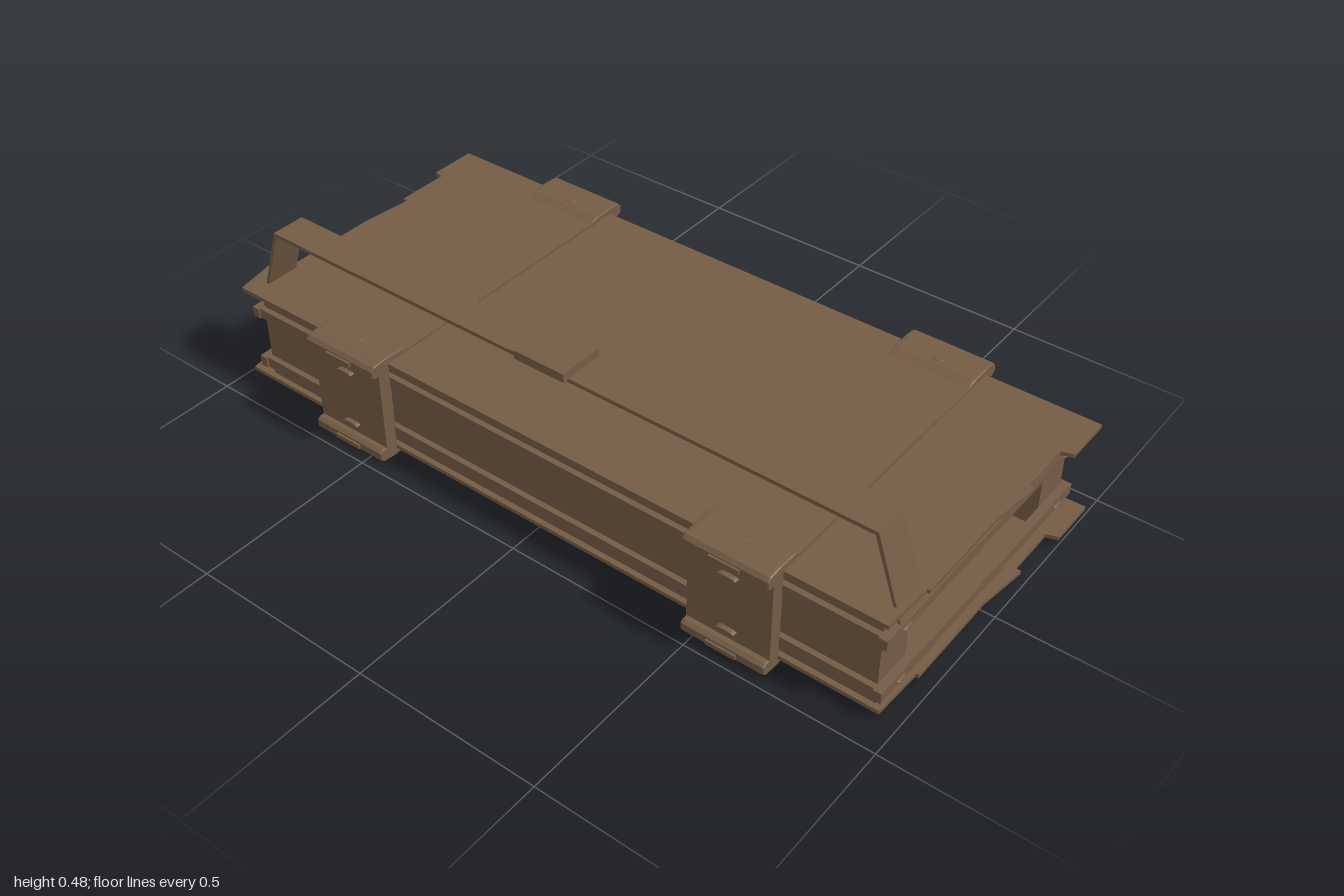
import * as THREE from 'three';

export function createModel() {
  const wood = new THREE.MeshStandardMaterial({ color: 0x745c45 });
  wood.name = 'brown wood';
  const root = new THREE.Group();
  root.name = 'crate';
  const MID = 0.153; // half height of the crate body

  function add(name, geo, parent = root) {
    const m = new THREE.Mesh(geo, wood);
    m.name = name;
    parent.add(m);
    return m;
  }
  // Box given by its limits
  function box(name, x0, x1, y0, y1, z0, z1) {
    const g = new THREE.BoxGeometry(x1 - x0, y1 - y0, z1 - z0);
    g.translate((x0 + x1) / 2, (y0 + y1) / 2, (z0 + z1) / 2);
    return add(name, g);
  }
  const toShape = (pts) => new THREE.Shape(pts.map(([x, y]) => new THREE.Vector2(x, y)));
  // Flattened round screw head facing along an axis
  function screw(axis, x, y, z) {
    const g = new THREE.CylinderGeometry(0.014, 0.022, 0.012, 10);
    if (axis === 'z') g.rotateX(z > 0 ? Math.PI / 2 : -Math.PI / 2);
    if (axis === 'x') g.rotateZ(x > 0 ? -Math.PI / 2 : Math.PI / 2);
    if (axis === 'y' && y < MID) g.rotateX(Math.PI);
    if (axis !== 'y') g.scale(1, 0.2, 1);
    g.translate(x, y, z);
    add('screw', g);
  }

  // Lid and base with ragged plank ends, outline in x and z
  const outline = [
    [-0.975, -0.43], [1, -0.43], [1, -0.295], [0.97, -0.285], [0.97, -0.14], [0.985, -0.14],
    [0.968, 0], [0.968, 0.28], [0.96, 0.28], [0.955, 0.42], [-0.975, 0.42], [-1, 0.29],
    [-0.998, 0.28], [-0.95, 0.28], [-0.95, 0], [-0.935, -0.14], [-0.95, -0.14],
    [-0.95, -0.29], [-0.975, -0.295],
  ];
  for (const [name, top] of [['lid', 0.285], ['base', 0.032]]) {
    const g = new THREE.ExtrudeGeometry(toShape(outline.map(([x, z]) => [x, z])), { depth: 0.011, bevelEnabled: false });
    g.rotateX(Math.PI / 2);
    g.translate(0, top, 0);
    add(name, g);
  }

  // Long walls with an upper and a lower rail
  const X0 = -0.915, X1 = 0.937;
  const rails = [[0.217, 0.245], [0.06, 0.09]];
  for (const s of [-1, 1]) {
    const span = (a, b) => (s > 0 ? [a, b] : [-b, -a]);
    box('longWall', X0, X1, 0.03, 0.275, ...span(0.385, 0.405));
    for (const [a, b] of rails) box('longRail', X0, X1, a, b, ...span(0.405, 0.42));
    // Corner posts at both ends
    box('cornerPost', X0, X0 + 0.1, 0.03, 0.275, ...span(0.295, 0.405));
    box('cornerPost', X1 - 0.1, X1, 0.03, 0.275, ...span(0.295, 0.405));
  }

  // End rails across the open ends, with screws
  for (const [a, b] of rails) {
    box('endRail', X0 - 0.022, X0, a, b, -0.42, 0.425);
    box('endRail', X1, X1 + 0.022, a, b, -0.42, 0.425);
    for (const z of [-0.348, 0.348]) {
      screw('x', X0 - 0.024, (a + b) / 2, z);
      screw('x', X1 + 0.024, (a + b) / 2, z);
    }
  }
  // Inner bulkheads
  for (const x of [-0.57, 0.585]) box('bulkhead', x - 0.01, x + 0.01, 0.03, 0.275, -0.386, 0.386);

  // Corner bracket profile in z and y, measured from the crate centre
  const profile = [
    [0.35, 0.139], [0.375, 0.146], [0.43, 0.148], [0.465, 0.144], [0.473, 0.136],
    [0.473, 0.118], [0.465, 0.112], [0.45, 0.112], [0.45, 0.134],
  ];
  const W = 0.225;
  const bracketGeo = new THREE.ExtrudeGeometry(toShape(profile), {
    depth: W - 0.02, bevelEnabled: true, bevelThickness: 0.01, bevelSize: 0.002, bevelSegments: 2,
  });
  bracketGeo.translate(0, 0, -(W - 0.02) / 2);
  bracketGeo.rotateY(-Math.PI / 2);

  // Two bands of battens around the crate, with brackets on their corners
  for (const x of [-0.568, 0.585]) {
    const a = x - W / 2, b = x + W / 2;
    box('topBatten', a, b, 0.284, 0.292, -0.453, 0.453);
    box('bottomBatten', a, b, 0.012, 0.022, -0.453, 0.453);
    box('frontBatten', a, b, 0.022, 0.284, 0.418, 0.453);
    box('backBatten', a, b, 0.022, 0.284, -0.453, -0.418);
    for (const rx of [0, Math.PI]) {
      for (const ry of [0, Math.PI]) {
        const m = add('cornerBracket', bracketGeo);
        m.position.set(x, MID, 0);
        m.rotation.set(rx, ry, 0);
      }
    }
    for (const z of [-1, 1]) {
      for (const y of [0.072, 0.232]) {
        const g = new THREE.CylinderGeometry(0.025, 0.025, 0.014, 10);
        g.rotateX(Math.PI / 2);
        g.scale(1, 0.2, 1);
        g.translate(x, y, z * 0.459);
        add('bandScrew', g);
      }
      for (const y of [0.025, 0.281]) {
        const g = new THREE.BoxGeometry(0.08, 0.012, 0.012);
        g.translate(x, y, z * 0.475);
        add('bracketScrew', g);
      }
      screw('y', x, 0.297, z * 0.4);
      screw('y', x, 0.009, z * 0.4);
    }
  }

  // Carrying handle: bent strip and grip pad
  const strip = toShape([
    [-0.96, 0.228], [-0.882, 0.46], [0.882, 0.46], [0.96, 0.228],
    [0.952, 0.228], [0.875, 0.45], [-0.875, 0.45], [-0.952, 0.228],
  ]);
  const handleGeo = new THREE.ExtrudeGeometry(strip, { depth: 0.094, bevelEnabled: false });
  handleGeo.translate(0, 0, 0.273);
  add('handle', handleGeo);
  box('gripPad', -0.073, 0.072, 0.458, 0.481, 0.258, 0.383);

  return root;
}
